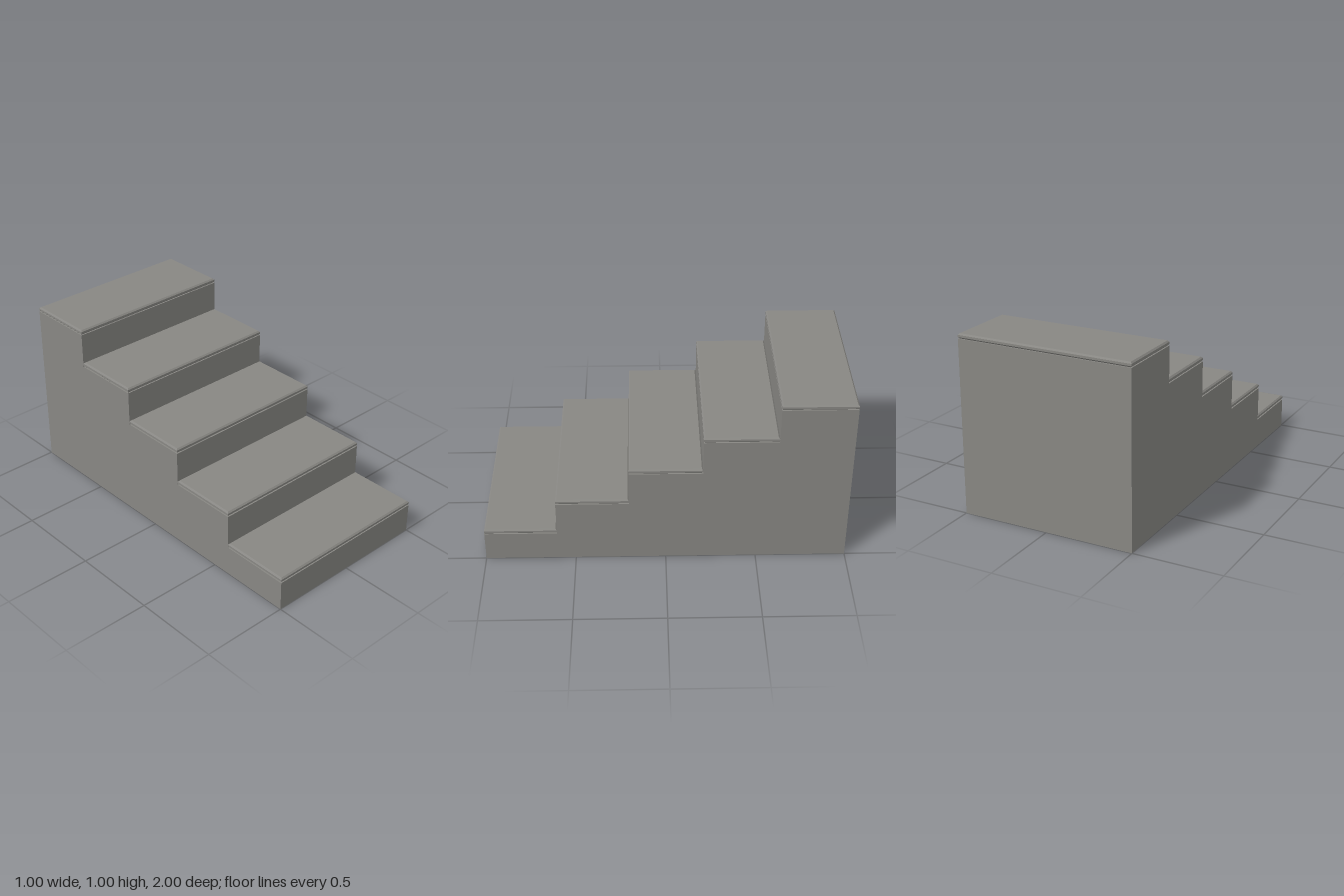
import * as THREE from 'three';

const STEPS = 5, RISE = 0.2, RUN = 0.4, WIDTH = 1;
const TREAD = 0.028, BEVEL = 0.008;

// Solid stepped block, extruded across the width
function createBody(material) {
  const profile = new THREE.Shape();
  profile.moveTo(-1, 0);
  for (let i = 0; i < STEPS; i++) {
    const top = (i + 1) * RISE - TREAD;
    profile.lineTo(-1 + i * RUN, top);
    profile.lineTo(-1 + (i + 1) * RUN, top);
  }
  profile.lineTo(1, 0);
  profile.closePath();
  const geometry = new THREE.ExtrudeGeometry(profile, { depth: WIDTH, bevelEnabled: false });
  geometry.translate(0, 0, -WIDTH / 2);
  geometry.rotateY(Math.PI / 2); // profile +x runs towards the back
  const body = new THREE.Mesh(geometry, material);
  body.name = 'stairBody';
  return body;
}

// Thin slab with chamfered edges, standing on y = 0
function createTreadGeometry() {
  const w = WIDTH / 2 - BEVEL, d = RUN / 2 - BEVEL;
  const outline = new THREE.Shape([
    new THREE.Vector2(-w, -d), new THREE.Vector2(w, -d),
    new THREE.Vector2(w, d), new THREE.Vector2(-w, d),
  ]);
  const geometry = new THREE.ExtrudeGeometry(outline, {
    depth: TREAD - 2 * BEVEL,
    bevelThickness: BEVEL, bevelSize: BEVEL, bevelSegments: 1,
  });
  geometry.rotateX(-Math.PI / 2);
  geometry.translate(0, BEVEL, 0);
  return geometry;
}

export function createModel() {
  const stone = new THREE.MeshStandardMaterial({ color: 0x888783, flatShading: true });
  stone.name = 'grey stone';

  const stairs = new THREE.Group();
  stairs.name = 'stairs';
  stairs.add(createBody(stone));

  // One tread on each step, from the front upwards
  const treadGeometry = createTreadGeometry();
  for (let i = 0; i < STEPS; i++) {
    const tread = new THREE.Mesh(treadGeometry, stone);
    tread.name = `tread${i + 1}`;
    tread.position.set(0, (i + 1) * RISE - TREAD, 1 - (i + 0.5) * RUN);
    stairs.add(tread);
  }
  return stairs;
}
